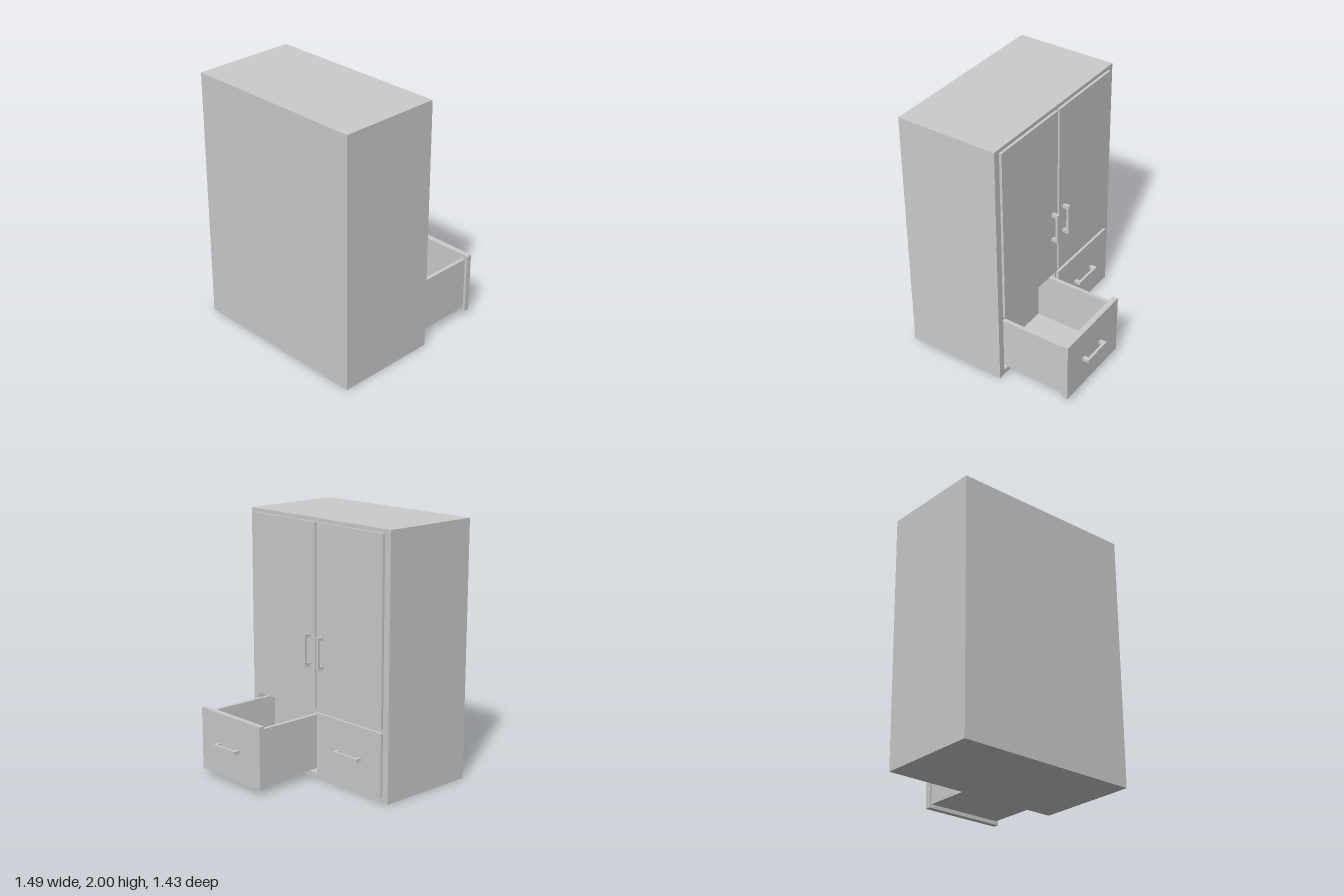
import * as THREE from 'three';

const material = new THREE.MeshStandardMaterial({ color: 0xcccccc, flatShading: true });

// Box given by its minimum and maximum corners
function box(parent, name, [x0, y0, z0], [x1, y1, z1]) {
  const mesh = new THREE.Mesh(new THREE.BoxGeometry(x1 - x0, y1 - y0, z1 - z0), material);
  mesh.name = name;
  mesh.position.set((x0 + x1) / 2, (y0 + y1) / 2, (z0 + z1) / 2);
  parent.add(mesh);
}

function rectangle(path, x0, y0, x1, y1) {
  path.moveTo(x0, y0).lineTo(x1, y0).lineTo(x1, y1).lineTo(x0, y1).closePath();
  return path;
}

// Bracket handle projecting towards -z, lying along x
function handle(name) {
  const shape = new THREE.Shape();
  [[-0.125, 0], [-0.125, -0.053], [0.125, -0.053], [0.125, 0], [0.097, 0], [0.097, -0.033], [-0.097, -0.033], [-0.097, 0]]
    .forEach(([x, z], i) => (i ? shape.lineTo(x, -z) : shape.moveTo(x, -z)));
  const geometry = new THREE.ExtrudeGeometry(shape, { depth: 0.025, bevelEnabled: false });
  geometry.translate(0, 0, -0.0125).rotateX(-Math.PI / 2);
  const mesh = new THREE.Mesh(geometry, material);
  mesh.name = name;
  return mesh;
}

// Drawer in its closed position: front panel, open-topped box and handle
function drawer(side) {
  const group = new THREE.Group();
  const x = 0.35 * side;
  const front = -0.12, inner = -0.075, back = 0.595;
  box(group, 'drawerFront', [x - 0.34, 0.04, front], [x + 0.34, 0.53, inner]);
  box(group, 'drawerFloor', [x - 0.29, 0.07, inner], [x + 0.29, 0.1, back]);
  box(group, 'drawerBack', [x - 0.29, 0.1, back - 0.03], [x + 0.29, 0.5, back]);
  for (const s of [-1, 1]) {
    const c = x + s * 0.305;
    box(group, 'drawerSide', [c - 0.015, 0.07, inner], [c + 0.015, 0.5, back]);
  }
  const pull = handle('drawerHandle');
  pull.position.set(0.365 * side, 0.283, front);
  group.add(pull);
  return group;
}

export function createModel() {
  const model = new THREE.Group();
  model.name = 'cabinet';

  // Carcass with two door bays and two drawer bays
  const outline = rectangle(new THREE.Shape(), -0.745, 0, 0.745, 2);
  for (const [x0, x1] of [[-0.69, -0.01], [0.01, 0.69]]) {
    outline.holes.push(rectangle(new THREE.Path(), x0, 0.04, x1, 0.53));
    outline.holes.push(rectangle(new THREE.Path(), x0, 0.56, x1, 1.97));
  }
  const carcass = new THREE.Mesh(
    new THREE.ExtrudeGeometry(outline, { depth: 0.785, bevelEnabled: false }), material);
  carcass.name = 'carcass';
  carcass.position.z = -0.1;
  model.add(carcass);
  box(model, 'backPanel', [-0.745, 0, 0.685], [0.745, 2, 0.715]);

  // Doors with upright handles, and drawers below
  for (const side of [-1, 1]) {
    const x = 0.35 * side;
    const door = new THREE.Group();
    door.name = side > 0 ? 'leftDoor' : 'rightDoor';
    box(door, 'doorPanel', [x - 0.34, 0.56, -0.12], [x + 0.34, 1.97, -0.075]);
    const pull = handle('doorHandle');
    pull.rotation.z = Math.PI / 2;
    pull.position.set(0.073 * side, 1.005, -0.12);
    door.add(pull);
    model.add(door);

    const tray = drawer(side);
    tray.name = side > 0 ? 'openDrawer' : 'closedDrawer';
    if (side > 0) tray.position.z = -0.545;
    model.add(tray);
  }
  return model;
}
